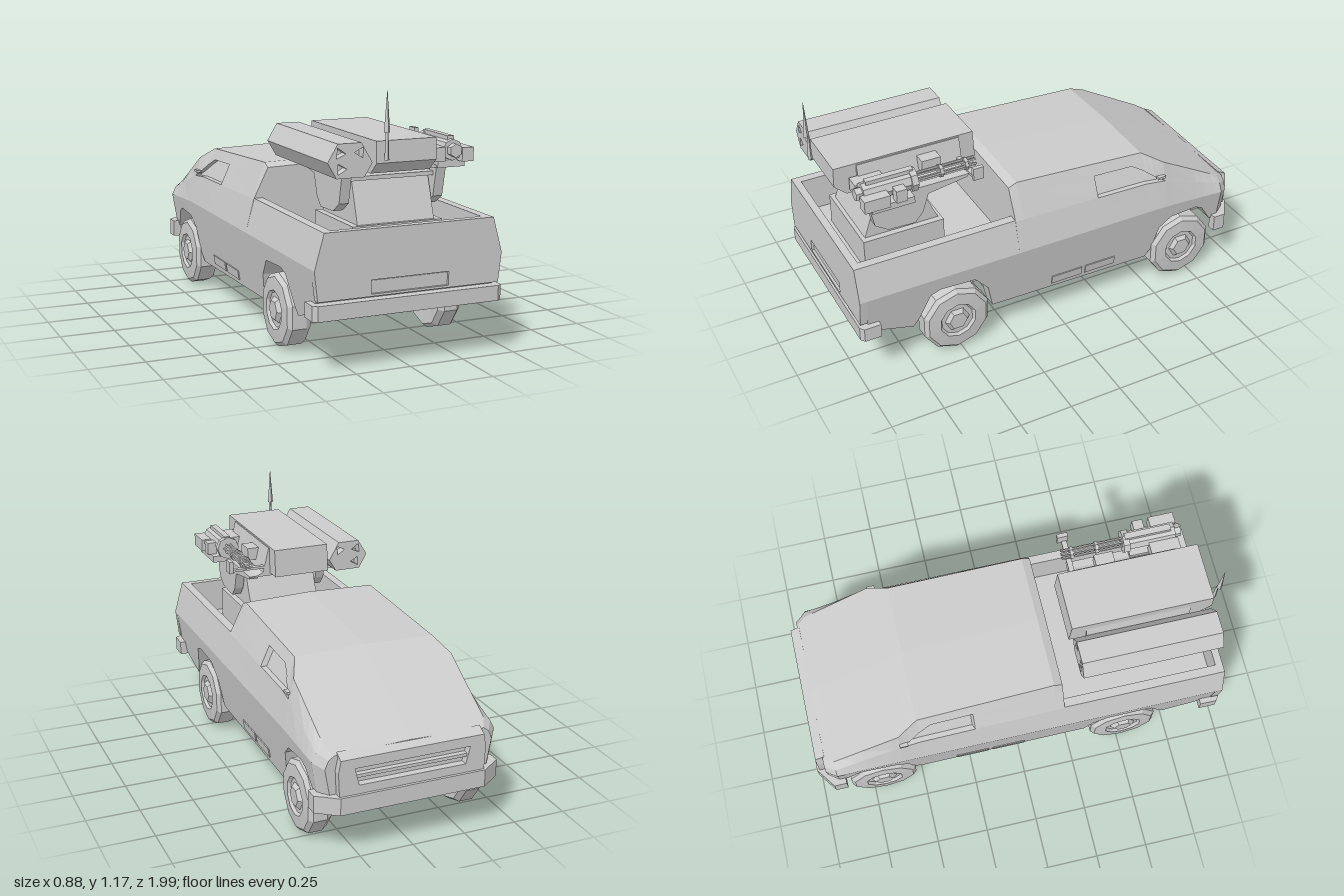
import * as THREE from 'three';

const mat = new THREE.MeshStandardMaterial({ color: 0xcccccc, flatShading: true, side: THREE.DoubleSide });
const V2 = (p) => new THREE.Vector2(p[0], p[1]);
const shapeOf = (pts) => new THREE.Shape(pts.map(V2));
const mirror = (half) => [...half, ...half.slice().reverse().map(([x, y]) => [-x, y])];

// Piecewise linear lookup: rows of [key, ...values]
function lookup(rows, z) {
  if (z <= rows[0][0]) return rows[0].slice(1);
  for (let i = 1; i < rows.length; i++) {
    const a = rows[i - 1], b = rows[i];
    if (z <= b[0]) {
      const t = (z - a[0]) / (b[0] - a[0]);
      return a.slice(1).map((v, k) => v + (b[k + 1] - v) * t);
    }
  }
  return rows[rows.length - 1].slice(1);
}

// Skin mirrored half sections along z and close both ends
function loft(stations) {
  const rings = stations.map(({ z, half }) => mirror(half).map(([x, y]) => new THREE.Vector3(x, y, z)));
  const pos = [];
  const tri = (a, b, c) => {
    const area = b.clone().sub(a).cross(c.clone().sub(a)).length();
    if (area > 1e-7) for (const p of [a, b, c]) pos.push(p.x, p.y, p.z);
  };
  const n = rings[0].length;
  for (let i = 0; i + 1 < rings.length; i++) {
    for (let j = 0; j < n; j++) {
      const k = (j + 1) % n, r = rings[i], s = rings[i + 1];
      tri(r[j], r[k], s[k]);
      tri(r[j], s[k], s[j]);
    }
  }
  [rings[0], rings[rings.length - 1]].forEach((ring, end) => {
    const flat = ring.map((p) => new THREE.Vector2(p.x, p.y));
    for (const [a, b, c] of THREE.ShapeUtils.triangulateShape(flat, [])) {
      if (end) tri(ring[a], ring[b], ring[c]);
      else tri(ring[a], ring[c], ring[b]);
    }
  });
  const g = new THREE.BufferGeometry();
  g.setAttribute('position', new THREE.Float32BufferAttribute(pos, 3));
  g.computeVertexNormals();
  return g;
}

// Extrusions along each axis
function extrudeZ(pts, z0, z1, holes = []) {
  const s = shapeOf(pts);
  for (const h of holes) s.holes.push(new THREE.Path(h.map(V2)));
  return new THREE.ExtrudeGeometry(s, { depth: z1 - z0, bevelEnabled: false }).translate(0, 0, z0);
}
const extrudeX = (zy, x0, x1) => extrudeZ(zy, 0, x1 - x0).rotateY(-Math.PI / 2).translate(x1, 0, 0);
const extrudeY = (xz, y0, y1) => extrudeZ(xz, 0, y1 - y0).rotateX(Math.PI / 2).translate(0, y1, 0);
const box = (x0, x1, y0, y1, z0, z1) =>
  new THREE.BoxGeometry(x1 - x0, y1 - y0, z1 - z0).translate((x0 + x1) / 2, (y0 + y1) / 2, (z0 + z1) / 2);
const rodZ = (x, y, z0, z1, r, n = 8) =>
  new THREE.CylinderGeometry(r, r, z1 - z0, n).rotateX(Math.PI / 2).translate(x, y, (z0 + z1) / 2);

// Lower edge of the body with both wheel arches: z, y
const LOWER = [[-0.95, 0.28], [-0.86, 0.27], [-0.8, 0.36], [-0.76, 0.38], [-0.62, 0.37], [-0.56, 0.32], [-0.53, 0.19],
  [-0.5, 0.15], [0.33, 0.165], [0.36, 0.29], [0.43, 0.37], [0.6, 0.38], [0.65, 0.36], [0.7, 0.24], [0.73, 0.195],
  [0.88, 0.24], [0.965, 0.32]];
// Cab: z, width factor, belt y, shoulder x, y, roof edge x, y
const UPPER = [[-0.95, 0.9, 0.41, 0.375, 0.45, 0.35, 0.468], [-0.9, 0.99, 0.43, 0.41, 0.47, 0.375, 0.495],
  [-0.58, 1, 0.45, 0.405, 0.58, 0.38, 0.672], [-0.48, 1, 0.45, 0.4, 0.59, 0.335, 0.728],
  [0.17, 1, 0.45, 0.395, 0.6, 0.325, 0.76], [0.21, 1, 0.45, 0.395, 0.6, 0.325, 0.742]];
// Side window: z, height fraction, recess depth
const WINDOW = [[-0.58, 0.05, 0], [-0.57, 0.08, 0.025], [-0.42, 0.65, 0.025], [-0.23, 0.65, 0.025], [-0.22, 0.65, 0]];

function underside(z, w) {
  const y = lookup(LOWER, z)[0], f = Math.max(y, 0.2);
  return [[0, f], [0.3 * w, f], [0.33 * w, y], [(0.39 + (y - 0.15) * 0.15) * w, y]];
}
function cabStation(z) {
  const [w, ym, xs, ys, xr, yr] = lookup(UPPER, z), [t, d] = lookup(WINDOW, z);
  const xh = xs + (xr - xs) * t, yh = ys + (yr - ys) * t;
  return { z, half: [...underside(z, w), [0.435 * w, ym], [xs, ys], [xs - d, ys], [xh - d, yh], [xh, yh],
    [xr, yr], [0, yr + 0.01]] };
}
const bedStation = (z) => ({ z, half: [...underside(z, 1), [0.435, 0.45], [0.392, 0.605], [0.35, 0.605],
  [0.345, 0.44], [0, 0.44]] });
const zList = (lo, hi, ...tables) =>
  [...new Set([lo, hi, ...tables.flat().map((r) => r[0])])].filter((z) => z >= lo && z <= hi).sort((a, b) => a - b);

export function createModel() {
  const root = new THREE.Group();
  const add = (name, g, parent = root) => {
    const m = new THREE.Mesh(g, mat);
    m.name = name;
    parent.add(m);
    return m;
  };
  const group = (name) => {
    const g = new THREE.Group();
    g.name = name;
    root.add(g);
    return g;
  };

  // Body shell
  add('cab', loft(zList(-0.95, 0.21, LOWER, UPPER, WINDOW).map(cabStation)));
  add('bed', loft(zList(0.21, 0.965, LOWER).map(bedStation)));
  add('tailgate', extrudeZ(mirror([[0.42, 0.32], [0.435, 0.45], [0.392, 0.605]]), 0.955, 0.99,
    [[[-0.18, 0.33], [0.18, 0.33], [0.18, 0.39], [-0.18, 0.39]]]));
  add('platePanel', box(-0.18, 0.18, 0.325, 0.385, 0.955, 0.978));
  add('nosePanel', extrudeZ(mirror([[0.34, 0.28], [0.345, 0.4], [0.335, 0.452]]), -0.985, -0.945,
    [mirror([[0.25, 0.33], [0.27, 0.41]])]));
  add('hoodLip', extrudeX([[-0.94, 0.48], [-0.985, 0.456], [-0.985, 0.445], [-0.94, 0.445]], -0.335, 0.335));
  add('grilleBar', box(-0.26, 0.26, 0.36, 0.375, -0.975, -0.94));

  // Bumpers, wrapped around the corners
  add('frontBumper', extrudeY(mirror([[0.34, -0.998], [0.435, -0.93], [0.435, -0.87], [0.395, -0.87],
    [0.395, -0.92], [0.3, -0.95]]), 0.21, 0.29));
  add('rearBumper', extrudeY(mirror([[0.42, 0.995], [0.44, 0.98], [0.44, 0.9], [0.4, 0.9], [0.38, 0.94]]), 0.238, 0.305));

  // Chassis with two long rails
  add('chassis', box(-0.25, 0.25, 0.21, 0.42, -0.86, 0.76));
  for (const x of [-0.14, 0.14]) add('chassisRail', box(x - 0.02, x + 0.02, 0.19, 0.22, -0.8, 0.72));

  // Wheels and suspension
  const tyre = [[0, -0.04], [0.1, -0.05], [0.15, -0.055], [0.168, -0.03], [0.168, 0.035], [0.15, 0.053],
    [0.09, 0.058], [0.08, 0.045], [0, 0.045]].map(V2);
  for (const [label, z] of [['rear', 0.52], ['front', -0.69]]) {
    add(label + 'Differential', extrudeZ(mirror([[0.11, 0.145], [0.14, 0.21]]), z - 0.06, z + 0.06));
    for (const s of [1, -1]) {
      const w = group(label + (s > 0 ? 'LeftWheel' : 'RightWheel'));
      add('tyre', new THREE.LatheGeometry(tyre, 10, Math.PI / 10), w);
      add('hubCap', new THREE.CylinderGeometry(0.045, 0.065, 0.02, 6).translate(0, 0.052, 0), w);
      w.position.set(s * 0.366, 0.168, z);
      w.rotation.z = -s * Math.PI / 2;
      for (const dz of [-0.05, 0.05]) {
        const arm = add(label + 'Arm', box(-0.11, 0.11, -0.01, 0.01, -0.012, 0.012));
        arm.position.set(s * 0.2, 0.15, z + dz);
        arm.rotation.z = -s * 0.18;
      }
      add(label + 'Upright', box(s * 0.295 - 0.015, s * 0.295 + 0.015, 0.1, 0.2, z - 0.05, z + 0.05));
    }
  }

  // Vents in the door sills and small mirrors
  for (const s of [1, -1]) {
    for (const z of [-0.24, -0.06]) {
      const v = add('sillVent', box(-0.006, 0.006, -0.022, 0.022, -0.08, 0.08));
      v.position.set(s * 0.397, 0.203, z);
      v.rotation.z = -s * 0.15;
    }
    add('mirror', box(s * 0.4 - 0.012, s * 0.4 + 0.012, 0.6, 0.612, -0.58, -0.54));
  }

  // Turret mount: base, pedestal and yoke arms carrying the housing
  const turret = group('turret');
  add('turretBase', box(-0.21, 0.21, 0.44, 0.59, 0.48, 0.87), turret);
  add('pedestal', extrudeX([[0.855, 0.58], [0.79, 0.775], [0.58, 0.775], [0.49, 0.58]], -0.18, 0.18), turret);
  add('mountPlate', box(-0.22, 0.22, 0.772, 0.79, 0.57, 0.82), turret);
  for (const x of [-0.25, 0.19]) {
    add('yokeArm', extrudeX([[0.85, 0.815], [0.82, 0.68], [0.76, 0.64], [0.63, 0.635], [0.59, 0.68], [0.56, 0.77],
      [0.37, 0.8], [0.36, 0.815]], x, x + 0.045), turret);
  }
  add('turretCradle', extrudeZ(mirror([[0.21, 0.81], [0.165, 0.83], [0.135, 0.95]]), 0.36, 0.85), turret);
  add('turretHousing', extrudeX([[0.955, 0.957], [0.29, 0.957], [0.28, 0.825], [0.9, 0.815], [0.957, 0.865]], -0.145, 0.13), turret);

  // Rocket pod with three tube mouths at each end
  const pod = group('rocketPod');
  const podOutline = [[-0.36, 0.88], [-0.32, 0.812], [-0.195, 0.812], [-0.16, 0.87], [-0.21, 0.955], [-0.315, 0.955]];
  const mouths = [[-0.3, 0.85], [-0.215, 0.915], [-0.305, 0.915]].map(([x, y], i) =>
    [0, 1, 2].map((k) => [x + 0.026 * Math.cos(k * 2.094 + i), y + 0.026 * Math.sin(k * 2.094 + i)]));
  add('podBody', extrudeZ(podOutline, 0.34, 0.91), pod);
  add('podFrontEnd', extrudeZ(podOutline, 0.295, 0.34, mouths), pod);
  add('podRearEnd', extrudeZ(podOutline, 0.91, 0.95, mouths), pod);

  // Rotary gun
  const gun = group('rotaryGun');
  const gx = 0.25, gy = 0.885;
  for (let i = 0; i < 6; i++) {
    const a = i * Math.PI / 3;
    add('barrel', rodZ(gx + 0.02 * Math.cos(a), gy + 0.02 * Math.sin(a), 0.34, 0.66, 0.006, 5), gun);
  }
  for (const z of [0.38, 0.5]) add('barrelClamp', rodZ(gx, gy, z, z + 0.015, 0.03), gun);
  add('receiverRing', rodZ(gx, gy, 0.63, 0.66, 0.056), gun);
  add('receiver', rodZ(gx, gy, 0.66, 0.88, 0.046), gun);
  add('motor', rodZ(gx, gy, 0.88, 0.91, 0.03, 6), gun);
  add('ammoFeed', box(0.14, 0.21, 0.84, 0.9, 0.75, 0.89), gun);
  add('feedLink', box(0.13, 0.2, 0.86, 0.92, 0.48, 0.57), gun);
  add('gunCradle', box(0.19, 0.32, 0.808, 0.84, 0.66, 0.86), gun);
  add('sideBox', box(0.29, 0.335, 0.84, 0.9, 0.7, 0.75), gun);
  add('gripBox', box(0.285, 0.34, 0.835, 0.895, 0.78, 0.9), gun);
  add('frontBracket', box(0.13, 0.345, 0.85, 0.862, 0.36, 0.385), gun);
  add('bracketTip', box(0.325, 0.345, 0.85, 0.91, 0.34, 0.39), gun);
  add('sightRail', box(0.235, 0.265, 0.925, 0.943, 0.64, 0.86), gun);

  // Antenna
  const antenna = group('antenna');
  add('antennaBase', new THREE.CylinderGeometry(0.006, 0.011, 0.12, 4).translate(-0.108, 0.94, 0.975), antenna);
  add('antennaWhip', new THREE.ConeGeometry(0.014, 0.18, 4).translate(-0.112, 1.085, 0.982), antenna);

  return root;
}
